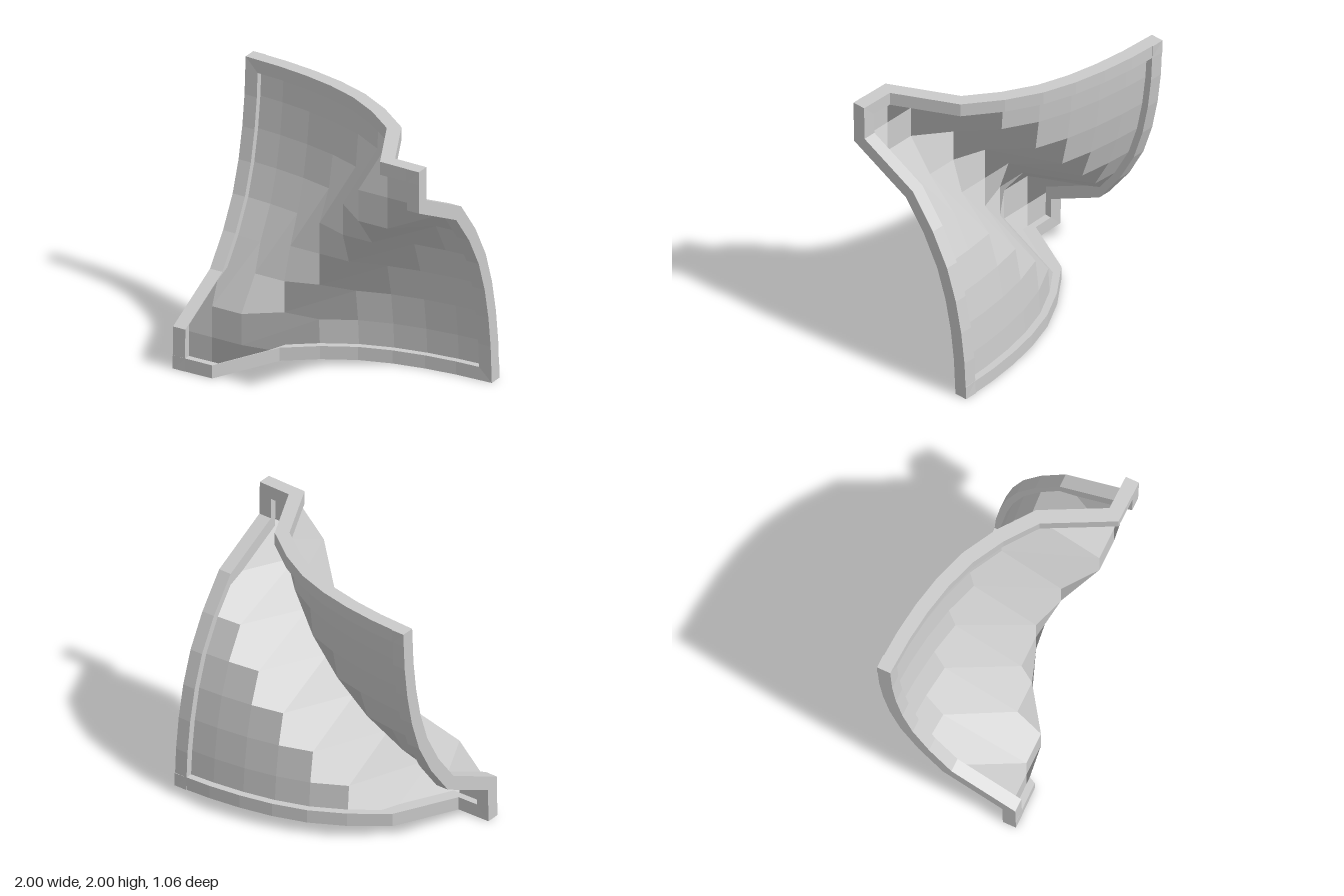
import * as THREE from 'three';

const N = 8, STEP = 0.2375, HALF = 0.05;
// depth of the border curve, from the forward corner to the rear corner
const EDGE = [0.475, 0.47, 0, -0.18, -0.31, -0.39, -0.44, -0.47, -0.485];
// depth along the forward diagonal fold, from the middle outwards
const FOLD = [0.21, 0.29, 0.47, 0.47, 0.475];

// sheet depth at grid point (i, j), each -4..4, mirrored over the diagonal
function depth(i, j) {
  if (i < j) [i, j] = [j, i];
  if (i - j < 2) return Math.min(FOLD[Math.abs(i)], FOLD[Math.abs(j)]);
  return EDGE[i + 4] + EDGE[4 - j] + 0.485;
}

// folded saddle sheet: every cell is shaded as one facet and split along the fold
function sheetGeometry() {
  const pos = [], normals = [], index = [];
  const point = (i, j) => new THREE.Vector3(i * STEP, j * STEP, depth(i, j));
  for (let j = -4; j < 4; j++)
    for (let i = -4; i < 4; i++) {
      const k = pos.length / 3;
      const corners = [point(i, j), point(i + 1, j), point(i + 1, j + 1), point(i, j + 1)];
      const normal = corners[2].clone().sub(corners[0])
        .cross(corners[3].clone().sub(corners[1])).normalize();
      for (const p of corners) {
        pos.push(p.x, p.y, p.z);
        normals.push(normal.x, normal.y, normal.z);
      }
      index.push(k, k + 1, k + 2, k, k + 2, k + 3);
    }
  const g = new THREE.BufferGeometry();
  g.setAttribute('position', new THREE.Float32BufferAttribute(pos, 3));
  g.setAttribute('normal', new THREE.Float32BufferAttribute(normals, 3));
  g.setIndex(index);
  return g;
}

// square-section bar following the border curve; dir = -1 mirrors it
function rimGeometry(dir) {
  const path = EDGE.map((z, k) => new THREE.Vector2((k - 4) * STEP, z));
  path[0].x = -1;
  path[N].x = 1;
  const upper = [], lower = [];
  path.forEach((p, k) => {
    const before = new THREE.Vector2(1, 0), after = new THREE.Vector2(1, 0);
    if (k > 0 && k < N) {
      before.copy(p).sub(path[k - 1]).normalize();
      after.copy(path[k + 1]).sub(p).normalize();
    }
    const t = before.clone().add(after).normalize();
    const w = HALF / t.dot(before);
    upper.push(new THREE.Vector2(dir * (p.x - t.y * w), p.y + t.x * w));
    lower.push(new THREE.Vector2(dir * (p.x + t.y * w), p.y - t.x * w));
  });
  const shape = new THREE.Shape([...upper, ...lower.reverse()]);
  const g = new THREE.ExtrudeGeometry(shape, { depth: 2 * HALF, bevelEnabled: false });
  return g.rotateX(Math.PI / 2).translate(0, -1 + 2 * HALF, 0);
}

export function createModel() {
  const group = new THREE.Group();
  group.name = 'saddlePanel';
  const sheetMaterial = new THREE.MeshStandardMaterial({ color: 0xcccccc, side: THREE.DoubleSide });
  const rimMaterial = new THREE.MeshStandardMaterial({ color: 0xcccccc, flatShading: true });
  const add = (name, geometry, material, turn = 0) => {
    const mesh = new THREE.Mesh(geometry, material);
    mesh.name = name;
    mesh.rotation.z = turn;
    mesh.position.y = 1;
    group.add(mesh);
  };
  add('sheet', sheetGeometry(), sheetMaterial);
  // four border bars
  add('bottomRim', rimGeometry(1), rimMaterial);
  add('topRim', rimGeometry(1), rimMaterial, Math.PI);
  add('leftRim', rimGeometry(-1), rimMaterial, Math.PI / 2);
  add('rightRim', rimGeometry(-1), rimMaterial, -Math.PI / 2);
  return group;
}
